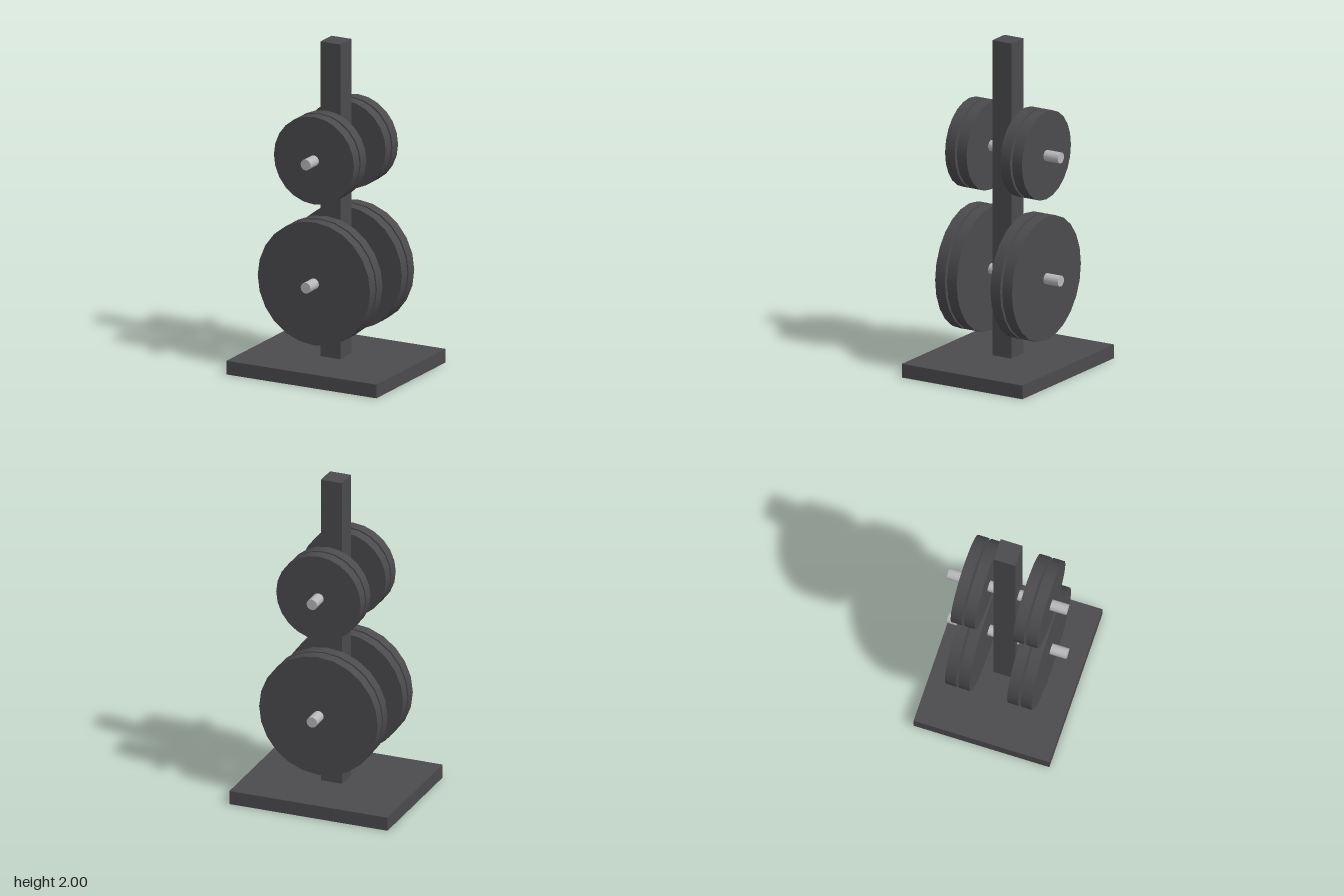
import * as THREE from 'three';

export function createModel() {
  const model = new THREE.Group();
  model.name = 'weightPlateRack';
  const darkIron = new THREE.MeshStandardMaterial({ name: 'dark iron', color: 0x4b4a4d });
  const steel = new THREE.MeshStandardMaterial({ name: 'bright steel', color: 0xb8b7ba });

  function add(name, geometry, material, x, y, z) {
    const mesh = new THREE.Mesh(geometry, material);
    mesh.name = name;
    mesh.position.set(x, y, z);
    model.add(mesh);
  }

  // Cylinder lying along z
  const disc = (radius, depth, sides) =>
    new THREE.CylinderGeometry(radius, radius, depth, sides).rotateX(Math.PI / 2);

  // Base slab and square upright
  const baseHeight = 0.083;
  add('base', new THREE.BoxGeometry(1, baseHeight, 0.833), darkIron, 0, baseHeight / 2, 0);
  add('post', new THREE.BoxGeometry(0.133, 2 - baseHeight, 0.133), darkIron, 0, 1 + baseHeight / 2, 0);

  // Each tier has a peg with two plates on the front and on the back
  const tiers = [
    { name: 'lower', y: 0.585, radius: 0.375 },
    { name: 'upper', y: 1.335, radius: 0.267 },
  ];
  for (const { name, y, radius } of tiers) {
    for (const side of [1, -1]) {
      const end = side > 0 ? 'Front' : 'Back';
      add(`${name}${end}Peg`, disc(0.033, 0.305, 16), steel, 0, y, side * 0.2135);
      add(`${name}${end}InnerPlate`, disc(radius, 0.067, 24), darkIron, 0, y, side * 0.15);
      add(`${name}${end}OuterPlate`, disc(radius, 0.067, 24), darkIron, 0, y, side * 0.232);
    }
  }
  return model;
}
